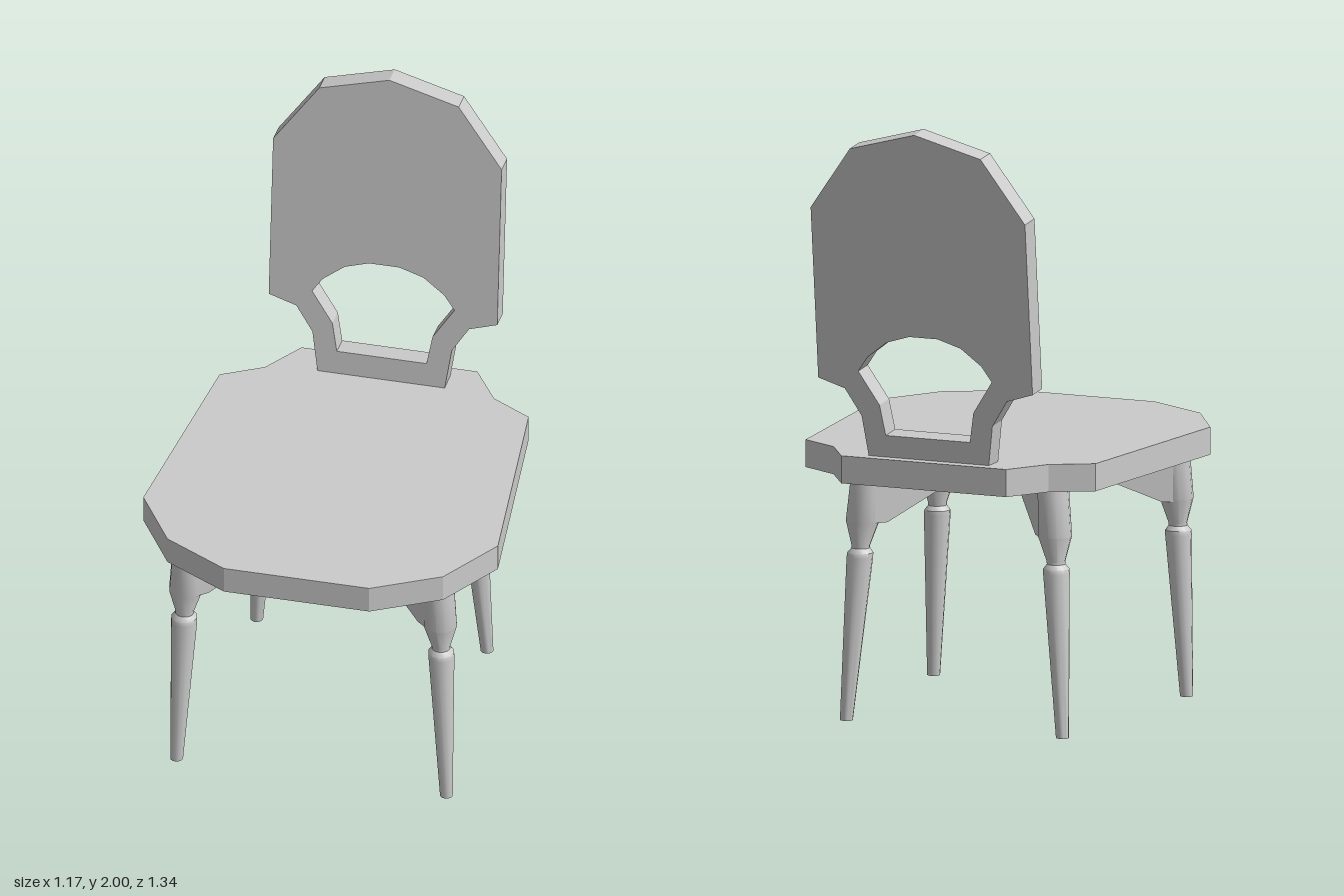
import * as THREE from 'three';
import { toCreasedNormals } from 'three/addons/utils/BufferGeometryUtils.js';

const material = new THREE.MeshStandardMaterial({ color: 0xcccccc });

function addMesh(parent, name, geometry) {
  const mesh = new THREE.Mesh(geometry, material);
  mesh.name = name;
  parent.add(mesh);
  return mesh;
}

// Full symmetric outline from its +x half (points on x = 0 are not repeated)
function mirrored(half) {
  const other = half.filter(([x]) => x > 0).map(([x, y]) => [-x, y]).reverse();
  return [...half, ...other].map(([x, y]) => new THREE.Vector2(x, y));
}

const extrude = (shape, depth) => new THREE.ExtrudeGeometry(shape, { depth, bevelEnabled: false });

// Turned leg: lathe profile sheared so that it splays from top to foot
function legGeometry(top, foot, height) {
  const profile = [
    [0, 0], [0.021, 0], [0.043, 0.53], [0.042, 0.545], [0.03, 0.56],
    [0.03, 0.568], [0.055, 0.65], [0.05, height], [0, height],
  ].map(([r, y]) => new THREE.Vector2(r, y));
  const geometry = new THREE.LatheGeometry(profile, 12);
  const pos = geometry.attributes.position;
  for (let i = 0; i < pos.count; i++) {
    const t = pos.getY(i) / height;
    pos.setX(i, pos.getX(i) + THREE.MathUtils.lerp(foot[0], top[0], t));
    pos.setZ(i, pos.getZ(i) + THREE.MathUtils.lerp(foot[1], top[1], t));
  }
  return toCreasedNormals(geometry, 0.6);
}

// Bracket arm running from the centre block to a leg, widening towards the leg
function armGeometry(from, to) {
  const dx = to[0] - from[0], dz = to[1] - from[1];
  const length = Math.hypot(dx, dz);
  const outline = [[0, 0.82], [0, 0.76], [0.16, 0.76], [length - 0.05, 0.645], [length, 0.645], [length, 0.82]];
  const geometry = extrude(new THREE.Shape(outline.map(([u, y]) => new THREE.Vector2(u, y))), 1);
  geometry.translate(0, 0, -0.5);
  const pos = geometry.attributes.position;
  for (let i = 0; i < pos.count; i++) {
    pos.setZ(i, pos.getZ(i) * THREE.MathUtils.lerp(0.065, 0.095, pos.getX(i) / length));
  }
  geometry.rotateY(-Math.atan2(dz, dx)).translate(from[0], 0, from[1]);
  geometry.computeVertexNormals();
  return geometry;
}

export function createModel() {
  const chair = new THREE.Group();
  chair.name = 'chair';

  // Seat slab (outline is x, -z)
  const seatOutline = mirrored([
    [0.24, -0.67], [0.455, -0.55], [0.585, -0.34], [0.51, 0.39], [0.378, 0.465], [0.29, 0.6],
  ]);
  addMesh(chair, 'seat', extrude(new THREE.Shape(seatOutline), 0.09).rotateX(-Math.PI / 2).translate(0, 0.82, 0));

  // Leaning backrest with an arched opening; heights are above the seat
  const backShape = new THREE.Shape(mirrored([
    [0.21, 0], [0.23, 0.14], [0.285, 0.227], [0.377, 0.256], [0.377, 0.825], [0.23, 1.032], [0, 1.095],
  ]));
  backShape.holes.push(new THREE.Path(mirrored([
    [0.148, 0.08], [0.165, 0.18], [0.235, 0.288], [0.2, 0.338], [0.13, 0.392], [0.05, 0.417],
  ])));
  const back = addMesh(chair, 'backrest', extrude(backShape, 0.075).translate(0, 0, -0.075));
  back.position.set(0, 0.91, -0.485);
  back.rotation.x = -0.105;

  // Centre block under the seat
  addMesh(chair, 'centreBlock', new THREE.BoxGeometry(0.12, 0.105, 0.31).translate(0, 0.7675, 0.095));

  // Legs and their bracket arms
  const legs = [
    { name: 'front', top: [0.413, 0.438], foot: [0.445, 0.465], inner: [0.04, 0.145] },
    { name: 'back', top: [0.327, -0.315], foot: [0.38, -0.36], inner: [0.04, 0.035] },
  ];
  for (const { name, top, foot, inner } of legs) {
    for (const [side, s] of [['Left', 1], ['Right', -1]]) {
      const flip = ([x, z]) => [s * x, z];
      addMesh(chair, `${name}${side}Leg`, legGeometry(flip(top), flip(foot), 0.82));
      addMesh(chair, `${name}${side}Arm`, armGeometry(flip(inner), flip(top)));
    }
  }
  return chair;
}
